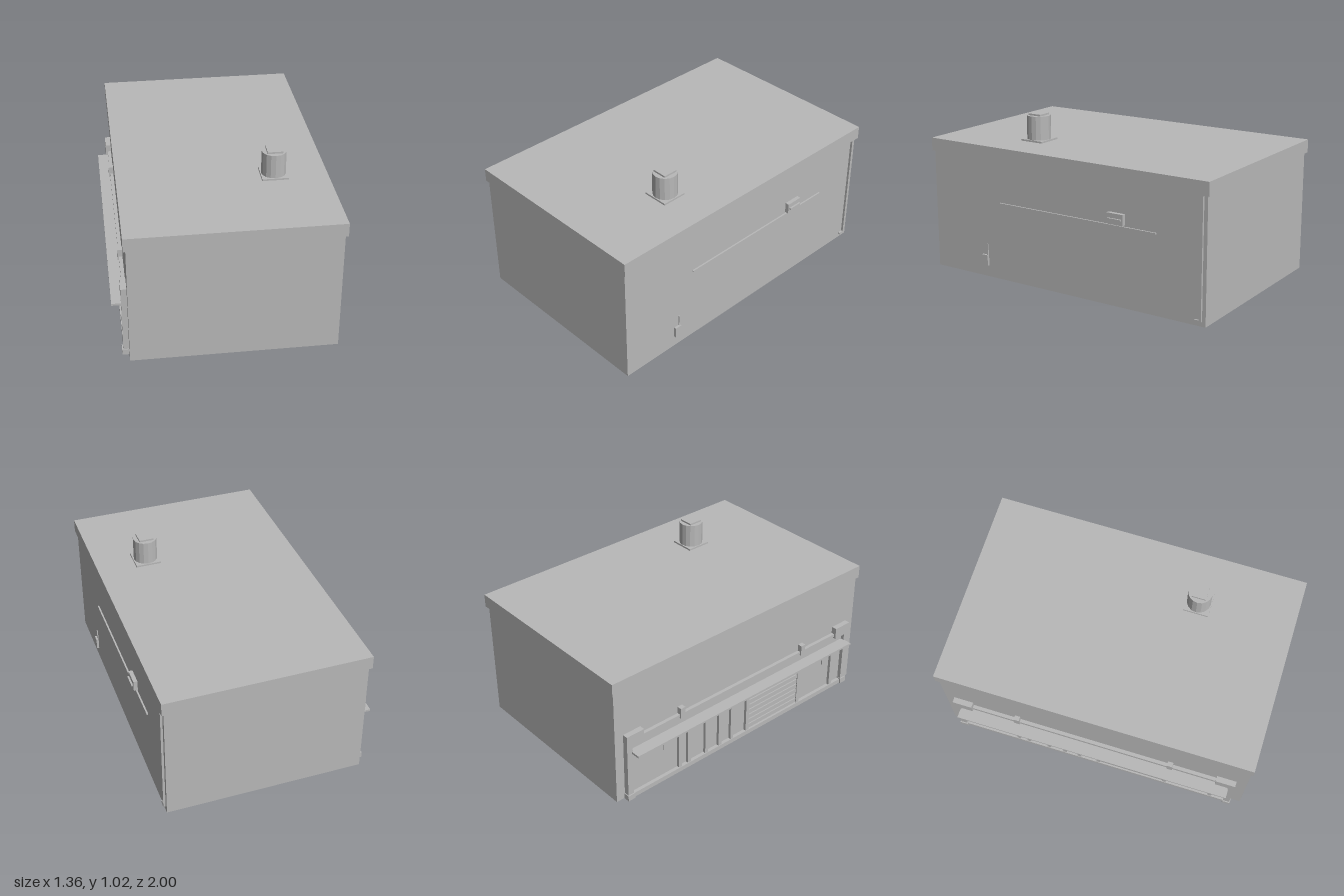
import * as THREE from 'three';

export function createModel() {
  const model = new THREE.Group();
  model.name = 'shopBuilding';
  const grey = new THREE.MeshStandardMaterial({ color: 0xb8b8b8 });
  grey.name = 'plain grey';

  // Box given by its lower and upper limits on each axis
  function box(name, x0, x1, y0, y1, z0, z1, parent = model) {
    const mesh = new THREE.Mesh(new THREE.BoxGeometry(x1 - x0, y1 - y0, z1 - z0), grey);
    mesh.position.set((x0 + x1) / 2, (y0 + y1) / 2, (z0 + z1) / 2);
    mesh.name = name;
    parent.add(mesh);
    return mesh;
  }

  // Main block and overhanging roof
  box('walls', -0.59, 0.64, 0, 0.765, -0.985, 0.99);
  box('roof', -0.605, 0.655, 0.762, 0.845, -1, 1);

  // Roof vent
  const vent = new THREE.Group();
  vent.name = 'roofVent';
  model.add(vent);
  box('ventBase', 0.253, 0.413, 0.845, 0.856, 0.315, 0.475, vent);
  const drumShape = new THREE.CylinderGeometry(0.075, 0.075, 0.15, 16).toNonIndexed();
  drumShape.computeVertexNormals();
  const drum = new THREE.Mesh(drumShape, grey);
  drum.name = 'ventDrum';
  drum.position.set(0.333, 0.93, 0.395);
  vent.add(drum);
  box('ventCap', 0.287, 0.379, 1.0, 1.016, 0.349, 0.441, vent);

  // Services on the left wall
  const services = new THREE.Group();
  services.name = 'wallServices';
  model.add(services);
  box('downpipe', 0.64, 0.654, 0.03, 0.765, -0.962, -0.946, services);
  box('downpipeSpout', 0.642, 0.652, 0.027, 0.039, -0.95, -0.915, services);
  box('wallConduit', 0.64, 0.65, 0.488, 0.497, -0.66, 0.47, services);
  box('ventBox', 0.64, 0.665, 0.505, 0.572, -0.447, -0.338, services);
  box('ventBoxLip', 0.665, 0.676, 0.534, 0.543, -0.437, -0.348, services);
  box('meterBox', 0.64, 0.655, 0.073, 0.142, 0.572, 0.617, services);
  box('meterConduit', 0.64, 0.647, 0.142, 0.213, 0.574, 0.582, services);

  // Shopfront on the right wall
  const shop = new THREE.Group();
  shop.name = 'shopfront';
  model.add(shop);
  box('frontBacking', -0.6, -0.585, 0.008, 0.41, -0.9, 0.9, shop);
  box('upperRail', -0.612, -0.59, 0.395, 0.415, -0.9, 0.9, shop);
  box('sill', -0.622, -0.59, 0, 0.03, -0.9, 0.9, shop);
  for (const s of [-1, 1]) {
    const span = (name, x0, x1, y0, y1, a, b) =>
      box(name, x0, x1, y0, y1, Math.min(s * a, s * b), Math.max(s * a, s * b), shop);
    span('endPost', -0.624, -0.59, 0.02, 0.44, 0.885, 0.925);
    span('postFoot', -0.631, -0.59, 0, 0.037, 0.88, 0.93);
    span('postCap', -0.625, -0.59, 0.385, 0.46, 0.8, 0.925);
    span('railBlock', -0.62, -0.59, 0.39, 0.46, 0.485, 0.52);
    span('signBracket', -0.652, -0.646, 0.258, 0.332, 0.655, 0.68);
  }
  box('awning', -0.68, -0.6, 0.328, 0.341, -0.89, 0.89, shop);

  // Window posts
  for (const z of [-0.52, -0.45, -0.31, -0.2, -0.1, 0.03, 0.48, 0.79]) {
    box('windowPost', -0.618, -0.59, 0.02, 0.33, z - 0.012, z + 0.012, shop);
  }

  // Slatted shutter
  for (let i = 0; i < 8; i++) {
    const y = 0.035 + i * 0.037;
    box('shutterSlat', -0.613, -0.595, y, y + 0.029, 0.04, 0.47, shop);
  }
  return model;
}
